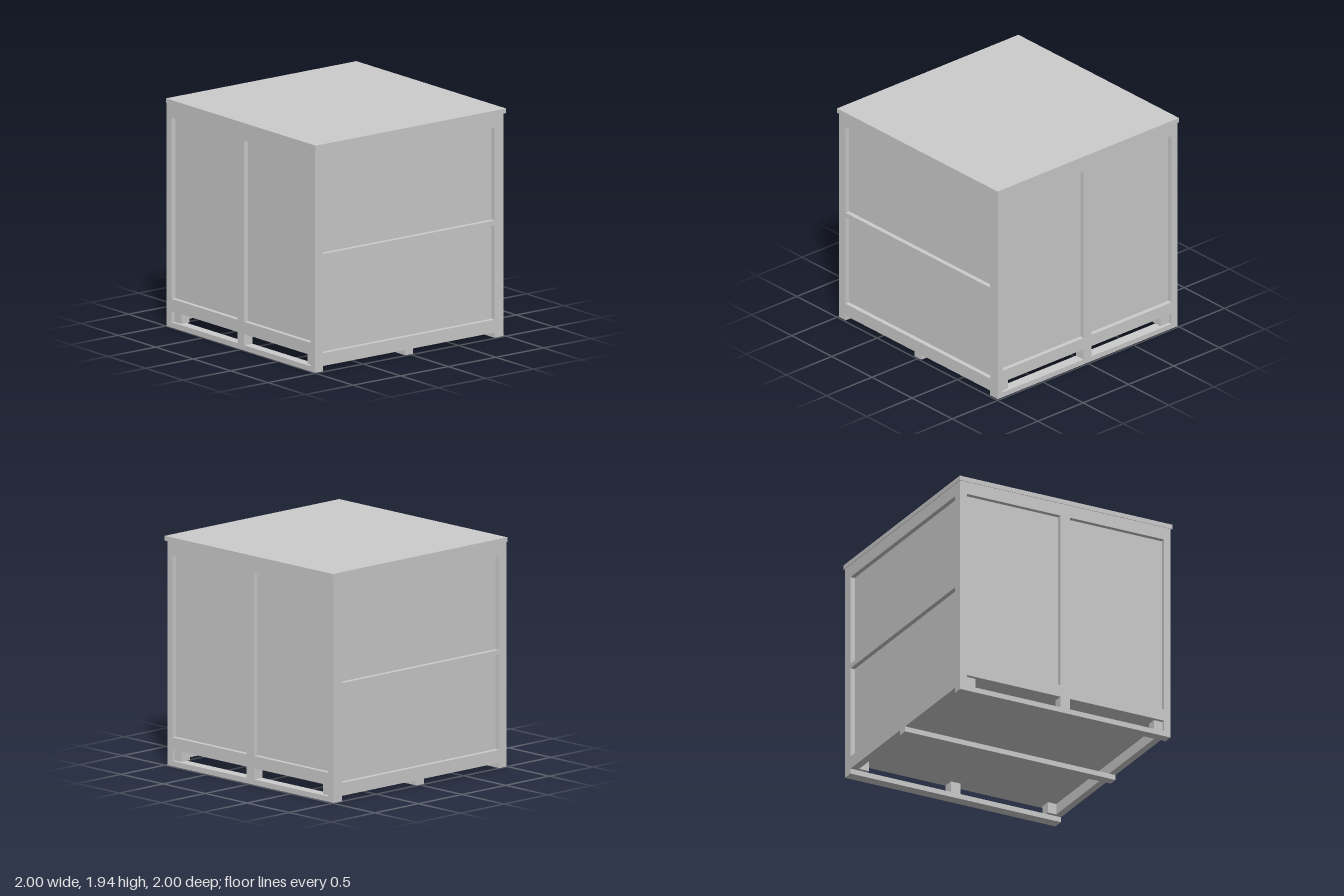
import * as THREE from 'three';

const material = new THREE.MeshStandardMaterial({ color: 0xcccccc, flatShading: true });

// Outer faces of the crate body
const X0 = -0.995, X1 = 0.985, Z0 = -0.985, Z1 = 0.995;
// Inner edges of the corner posts
const PX0 = -0.93, PX1 = 0.925, PZ0 = -0.89, PZ1 = 0.91;
const RECESS = 0.04;
const BOARD = 0.045, FLOOR = 0.14, LID = 1.9, TOP = 1.94;

export function createModel() {
  const crate = new THREE.Group();
  crate.name = 'crate';

  // Box given by its limits on each axis
  const box = (name, x0, x1, y0, y1, z0, z1) => {
    const mesh = new THREE.Mesh(new THREE.BoxGeometry(x1 - x0, y1 - y0, z1 - z0), material);
    mesh.position.set((x0 + x1) / 2, (y0 + y1) / 2, (z0 + z1) / 2);
    mesh.name = name;
    crate.add(mesh);
  };

  // Recessed wall panels and floor, with the lid on top
  box('panelBody', X0 + RECESS, X1 - RECESS, FLOOR, LID, Z0 + RECESS, Z1 - RECESS);
  box('lid', -1, 1, LID, TOP, -1, 1);

  // Corner posts
  for (const [x0, x1] of [[X0, PX0], [PX1, X1]])
    for (const [z0, z1] of [[Z0, PZ0], [PZ1, Z1]])
      box('cornerPost', x0, x1, BOARD, LID, z0, z1);

  // Front and back frames: rails, centre stile and fork pocket blocks
  for (const [side, z0, z1, b0, b1] of [
    ['front', Z1 - RECESS, Z1, PZ1, Z1],
    ['back', Z0, Z0 + RECESS, Z0, PZ0],
  ]) {
    box(side + 'TopRail', PX0, PX1, 1.79, LID, z0, z1);
    box(side + 'BottomRail', PX0, PX1, FLOOR, 0.245, z0, z1);
    box(side + 'Stile', -0.05, 0.04, 0.245, 1.79, z0, z1);
    box(side + 'CentreBlock', -0.05, 0.04, BOARD, FLOOR, b0, b1);
    // End blocks sit slightly behind the frame
    const inset = side === 'front' ? -0.03 : 0.03;
    box(side + 'RightBlock', PX0, -0.835, BOARD, FLOOR, b0 + inset, b1 + inset);
    box(side + 'LeftBlock', 0.845, PX1, BOARD, FLOOR, b0 + inset, b1 + inset);
  }

  // Side frames: top, middle and bottom rails
  for (const [side, x0, x1, s0, s1] of [
    ['left', X1 - RECESS, X1, PX1, X1],
    ['right', X0, X0 + RECESS, X0, PX0],
  ]) {
    box(side + 'TopRail', x0, x1, 1.79, LID, PZ0, PZ1);
    box(side + 'MiddleRail', x0, x1, 0.96, 1.0, PZ0, PZ1);
    box(side + 'BottomRail', s0, s1, BOARD, 0.155, PZ0, PZ1);
  }

  // Skid boards under the pallet base
  for (const [z0, z1] of [[Z0, PZ0], [-0.035, 0.05], [PZ1, Z1]])
    box('skidBoard', X0, X1, 0, BOARD, z0, z1);

  return crate;
}
